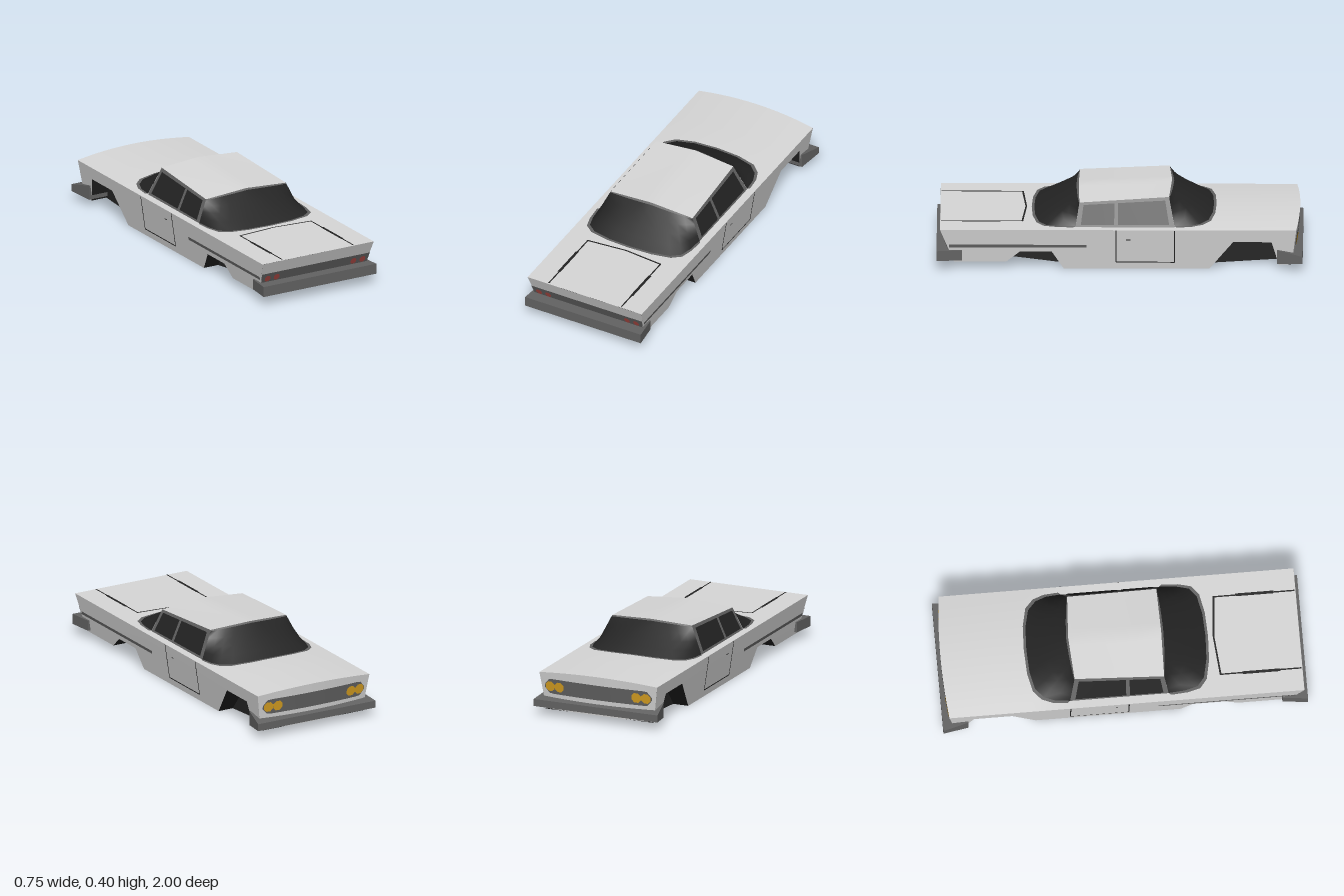
import * as THREE from 'three';

const mat = (name, color) => new THREE.MeshStandardMaterial({ name, color, side: THREE.DoubleSide });

// Body surface rules
const halfWidth = y => 0.32 + 0.035 * Math.min(y / 0.235, 1);
const crown = x => 1 - Math.min(1, (x / 0.355) ** 2);
const deckY = (x, z) => 0.237 + 0.02 * crown(x) * THREE.MathUtils.smoothstep(-z, 0.25, 0.5);
const noseZ = (x, y) => -0.965 - 0.02 * crown(x) + (0.24 - y) * 0.12;
const tailZ = y => 0.98 - (0.235 - y) * 0.39;
const steps = (a, b, n) => Array.from({ length: n + 1 }, (_, i) => a + (b - a) * i / n);
const lerp3 = (a, b, t) => a.map((v, i) => v + (b[i] - v) * t);

export function createModel() {
  const car = new THREE.Group();
  car.name = 'car';
  const paint = mat('silver paint', 0xd8d8d8);
  const trim = mat('grey trim', 0x636363);
  const black = mat('black', 0x242424);
  const red = mat('tail light red', 0xad4a45);
  const amber = mat('headlight amber', 0xd9a122);

  const add = (name, geometry, material) => {
    const mesh = new THREE.Mesh(geometry, material);
    mesh.name = name;
    car.add(mesh);
  };

  // Smooth grid through rows of points
  const sheet = (name, material, rows, flat = false) => {
    const n = rows[0].length, index = [];
    for (let r = 0; r < rows.length - 1; r++)
      for (let c = 0; c < n - 1; c++) {
        const a = r * n + c, b = a + n;
        index.push(a, a + 1, b, a + 1, b + 1, b);
      }
    let g = new THREE.BufferGeometry();
    g.setAttribute('position', new THREE.Float32BufferAttribute(rows.flat(2), 3));
    g.setIndex(index);
    if (flat) g = g.toNonIndexed();
    g.computeVertexNormals();
    add(name, g, material);
  };

  // Flat outline placed on the body by a mapping rule
  const panel = (name, material, pts, map) => {
    const g = new THREE.ShapeGeometry(new THREE.Shape(pts.map(p => new THREE.Vector2(...p))));
    const p = g.attributes.position;
    for (let i = 0; i < p.count; i++) p.setXYZ(i, ...map(p.getX(i), p.getY(i)));
    g.computeVertexNormals();
    add(name, g, material);
  };
  const rect = (a, b, c, d) => [[a, b], [c, b], [c, d], [a, d]];
  const octagon = (x, y, r) => steps(0, 7, 7).map(i => {
    const a = (i + 0.5) * Math.PI / 4;
    return [x + r * Math.cos(a), y + r * Math.sin(a)];
  });

  // Lower body: deck, nose and tail
  const across = steps(-1, 1, 12);
  const deckRows = [0.98, 0.45, -0.25, -0.33, -0.42, -0.5, -0.7].map(z =>
    across.map(u => [u * 0.355, deckY(u * 0.355, z), z]));
  deckRows.push(across.map(u => [u * 0.355, deckY(u * 0.355, -1), noseZ(u * 0.355, 0.24)]));
  sheet('deck', paint, deckRows);
  sheet('nose', paint, [deckRows.at(-1), across.map(u => [u * 0.324, 0.03, noseZ(u * 0.355, 0.03)])]);
  sheet('tail', paint, [0.237, 0.04].map(y => [-1, 1].map(s => [s * halfWidth(y), y, tailZ(y)])));

  // Side outline in (z, y), with the wheel arches
  const rearArch = [[0.62, 0.04], [0.545, 0.103], [0.37, 0.103], [0.305, 0]];
  const frontArch = [[-0.49, 0], [-0.62, 0.165], [-0.83, 0.165], [-0.87, 0.025]];
  const sideOutline = [[0.98, 0.237], [0.904, 0.04], ...rearArch, ...frontArch, [-0.94, 0.03], [-0.965, 0.237]];

  // Underside: centre strip and outer strips between the arches
  const floor = [[0.904, 0.04], [0.62, 0.04], [0.305, 0], [-0.49, 0], [-0.87, 0.025], [-0.955, 0.03]];
  sheet('floor', black, floor.map(([z, y]) => [[-0.23, y, z], [0.23, y, z]]), true);

  for (const s of [-1, 1]) {
    const onSide = off => (z, y) => [s * (halfWidth(y) + off), y, z];
    panel('sidePanel', paint, sideOutline, onSide(0));
    for (const i of [0, 2, 4])
      sheet('floorEdge', black, [floor[i], floor[i + 1]].map(([z, y]) =>
        [[s * 0.23, y, z], [s * halfWidth(y), y, z]]));
    for (const arch of [rearArch, frontArch]) {
      panel('wheelWellWall', black, arch, (z, y) => [s * 0.23, y, z]);
      sheet('wheelWell', black, arch.map(([z, y]) => [[s * 0.23, y, z], [s * halfWidth(y), y, z]]), true);
    }
    // Moulding, door gaps and handle
    panel('sideMoulding', trim, rect(0.18, 0.13, 0.932, 0.147), onSide(0.003));
    for (const z of [0.02, -0.3])
      panel('doorGap', black, rect(z - 0.003, 0.04, z + 0.003, 0.235), onSide(0.002));
    panel('doorGap', black, rect(-0.3, 0.037, 0.02, 0.043), onSide(0.002));
    panel('doorHandle', black, rect(-0.06, 0.176, -0.035, 0.181), onSide(0.003));
    // Lights
    for (const x of [0.245, 0.302])
      panel('tailLight', red, octagon(s * x, 0.135, 0.019), (px, y) => [px, y, tailZ(y) + 0.006]);
    for (const x of [0.232, 0.288])
      panel('headlight', amber, octagon(s * x, 0.165, 0.03), (px, y) => [px, y, noseZ(px, y) - 0.006]);
    // Trunk lid gap
    const onDeck = (x, z) => [s * x, 0.24, z];
    panel('trunkGap', black, rect(0.222, 0.53, 0.23, 0.975), onDeck);
    panel('trunkGap', black, rect(0.219, 0.65, 0.235, 0.86), onDeck);
    panel('trunkGap', black, [[0, 0.507], [0.23, 0.527], [0.23, 0.537], [0, 0.516]], onDeck);
  }

  // Tail band and grille
  sheet('tailBand', trim, [0.168, 0.108].map(y => [-1, 1].map(s => [s * halfWidth(y), y, tailZ(y) + 0.003])));
  const grilleCols = steps(-1, 1, 24).map(u => u * 0.322);
  sheet('grille', trim, [1, -1].map(k => grilleCols.map(x => {
    const end = Math.max(0, (Math.abs(x) - 0.28) / 0.042);
    const y = 0.165 + k * 0.043 * Math.sqrt(Math.max(0.04, 1 - end * end));
    return [x, y, noseZ(x, y) - 0.003];
  })));

  // Bumpers: boxes tapered from the body end to the outer end
  const bumper = (name, inner, outer) => {
    const g = new THREE.BoxGeometry(2, 1, 1), p = g.attributes.position;
    for (let i = 0; i < p.count; i++) {
      const [w, lo, hi, z] = p.getZ(i) * Math.sign(outer[3]) > 0 ? outer : inner;
      p.setXYZ(i, p.getX(i) * w, p.getY(i) > 0 ? hi : lo, z);
    }
    g.computeVertexNormals();
    add(name, g, trim);
  };
  bumper('frontBumper', [0.345, 0.037, 0.118, -0.86], [0.373, 0.05, 0.09, -1]);
  bumper('rearBumper', [0.345, 0.055, 0.113, 0.86], [0.36, 0.055, 0.113, 1]);

  // Cabin outlines, from the corner to the centre line
  const mirrorRow = half => [...half.map(([x, y, z]) => [-x, y, z]),
    ...half.slice(0, -1).reverse()];
  const baseRow = pts => mirrorRow(pts.map(([x, z]) => [x, deckY(x, z) + 0.003, z]));
  const roofRow = (x, y0, y1, z0, z1) => mirrorRow(steps(0, 1, 5).map(t =>
    [x * (1 - t), y0 + (y1 - y0) * t, z0 + (z1 - z0) * t]));
  const rearBase = [[0.31, 0.24], [0.303, 0.33], [0.285, 0.4], [0.235, 0.44], [0.13, 0.462], [0, 0.468]];
  const frontBase = [[0.31, -0.3], [0.303, -0.38], [0.28, -0.44], [0.23, -0.485], [0.13, -0.508], [0, -0.514]];
  const rearRoof = roofRow(0.255, 0.36, 0.379, 0.22, 0.225);
  const frontRoof = roofRow(0.24, 0.388, 0.4, -0.27, -0.285);

  sheet('roof', paint, steps(0, 1, 4).map(t => rearRoof.map((p, i) => lerp3(p, frontRoof[i], t))));
  for (const [name, base, top, dir] of [['rearWindow', rearBase, rearRoof, 1], ['windshield', frontBase, frontRoof, -1]]) {
    const low = baseRow(base);
    const slice = (a, b, n) => steps(a, b, n).map(t => low.map((p, i) => lerp3(p, top[i], t)));
    sheet(name, black, slice(0, 0.95, 4));
    sheet(name + 'TopTrim', trim, slice(0.95, 1, 1));
    const outer = baseRow(base.map(([x, z]) => [x + 0.012 * Math.min(1, x / 0.2), z + dir * 0.014]));
    sheet(name + 'BaseTrim', trim, [low, outer]);
  }

  // Side window frames and panes
  for (const s of [-1, 1]) {
    const at = (u, v, off = 0) => {
      const low = lerp3([0.31, 0.237, 0.24], [0.31, 0.237, -0.3], u);
      const high = lerp3([0.255, 0.36, 0.22], [0.24, 0.388, -0.27], u);
      const [x, y, z] = lerp3(low, high, v);
      return [s * (x + off), y + off * 0.4, z];
    };
    const pane = (name, material, u0, u1, v0, v1, off) =>
      sheet(name, material, steps(v0, v1, 2).map(v => steps(u0, u1, 4).map(u => at(u, v, off))));
    pane('windowFrame', trim, 0, 1, 0, 1, 0);
    pane('rearSideWindow', black, 0.05, 0.39, 0.08, 0.89, 0.003);
    pane('frontSideWindow', black, 0.43, 0.95, 0.08, 0.89, 0.003);
  }
  return car;
}
